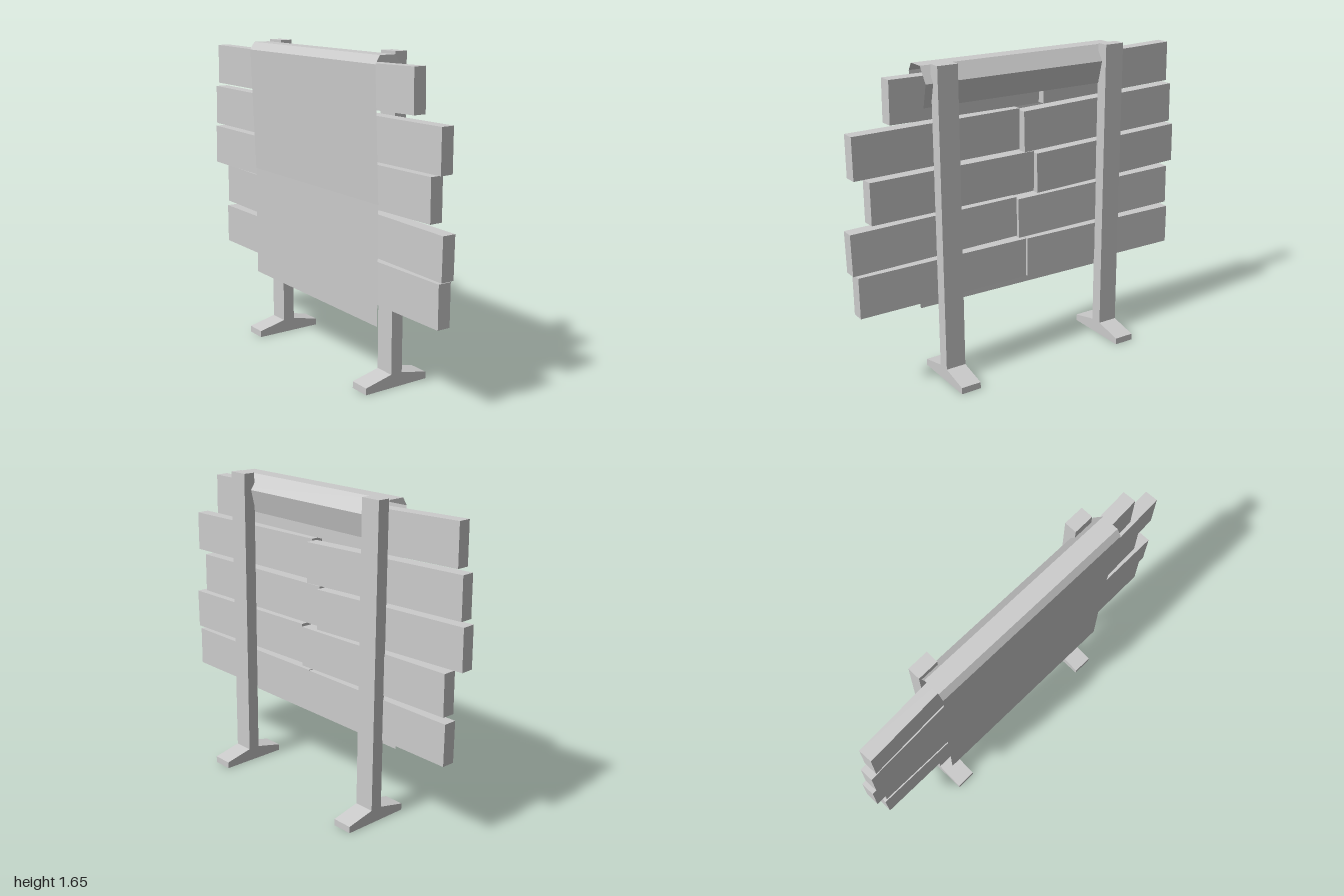
import * as THREE from 'three';

const grey = new THREE.MeshStandardMaterial({ color: 0xcccccc, flatShading: true });
const sheet = new THREE.MeshStandardMaterial({ color: 0xcccccc, flatShading: true, side: THREE.DoubleSide });

function addMesh(parent, name, geometry, material = grey) {
  const mesh = new THREE.Mesh(geometry, material);
  mesh.name = name;
  parent.add(mesh);
  return mesh;
}

// Upright with a sloped foot, extruded along z, and a second post piece on top
function makePost(name, z) {
  const post = new THREE.Group();
  post.name = name;
  const w = 0.033, depth = 0.11;
  const outline = [[-0.187, 0], [0.187, 0], [0.187, 0.035], [w, 0.07], [w, 0.86],
    [-w, 0.86], [-w, 0.07], [-0.187, 0.035]];
  const shape = new THREE.Shape(outline.map(([x, y]) => new THREE.Vector2(x, y)));
  const lower = new THREE.ExtrudeGeometry(shape, { depth, bevelEnabled: false });
  lower.translate(0, 0, -depth / 2);
  addMesh(post, 'footAndLowerPost', lower);
  addMesh(post, 'upperPost', new THREE.BoxGeometry(2 * w, 0.79, depth)).position.y = 1.255;
  post.position.z = z;
  return post;
}

// Plank running between two end centres [x, y, z], slightly skewed
function addPlank(parent, name, a, b) {
  const start = new THREE.Vector3(...a), end = new THREE.Vector3(...b);
  const geometry = new THREE.BoxGeometry(0.07, 0.215, start.distanceTo(end));
  const plank = addMesh(parent, name, geometry);
  plank.position.copy(start).add(end).multiplyScalar(0.5);
  plank.lookAt(start);
}

// Folded sheet: a profile in x, y swept between two z ends, the far end shifted in x
function makeCloth() {
  const profile = [[-0.155, 0.355], [-0.155, 0.95], [-0.18, 1.6], [-0.155, 1.64],
    [-0.065, 1.64], [-0.012, 1.56], [-0.042, 1.44]];
  const positions = [], index = [];
  profile.forEach(([x, y], i) => {
    positions.push(x, y, 0.59, x + 0.014, y, -0.535);
    if (i === 0) return;
    const k = 2 * (i - 1);
    index.push(k, k + 2, k + 1, k + 1, k + 2, k + 3);
  });
  const geometry = new THREE.BufferGeometry();
  geometry.setAttribute('position', new THREE.Float32BufferAttribute(positions, 3));
  geometry.setIndex(index);
  const flat = geometry.toNonIndexed();
  flat.computeVertexNormals();
  return flat;
}

export function createModel() {
  const model = new THREE.Group();
  model.name = 'plankScreen';

  model.add(makePost('frontPost', 0.495), makePost('backPost', -0.492));

  // Each row: front plank and back plank, given by their end centres
  const rows = [
    [[-0.075, 0.548, 0.975], [-0.075, 0.548, 0.012], [-0.07, 0.548, 0.005], [-0.06, 0.548, -0.95]],
    [[-0.08, 0.775, 1.0], [-0.078, 0.79, 0.067], [-0.07, 0.778, 0.06], [-0.06, 0.793, -0.935]],
    [[-0.065, 1.018, 0.895], [-0.092, 1.016, -0.048], [-0.07, 1.006, -0.055], [-0.098, 1.022, -1.0]],
    [[-0.075, 1.25, 0.97], [-0.11, 1.25, 0.028], [-0.07, 1.24, 0.024], [-0.105, 1.257, -0.975]],
    [[-0.07, 1.492, 0.773], [-0.105, 1.479, -0.088], [-0.07, 1.481, -0.092], [-0.105, 1.494, -0.94]],
  ];
  const planks = new THREE.Group();
  planks.name = 'planks';
  rows.forEach(([a, b, c, d], i) => {
    addPlank(planks, `frontPlank${i + 1}`, a, b);
    addPlank(planks, `backPlank${i + 1}`, c, d);
  });
  model.add(planks);

  addMesh(model, 'drapedCloth', makeCloth(), sheet);
  return model;
}
